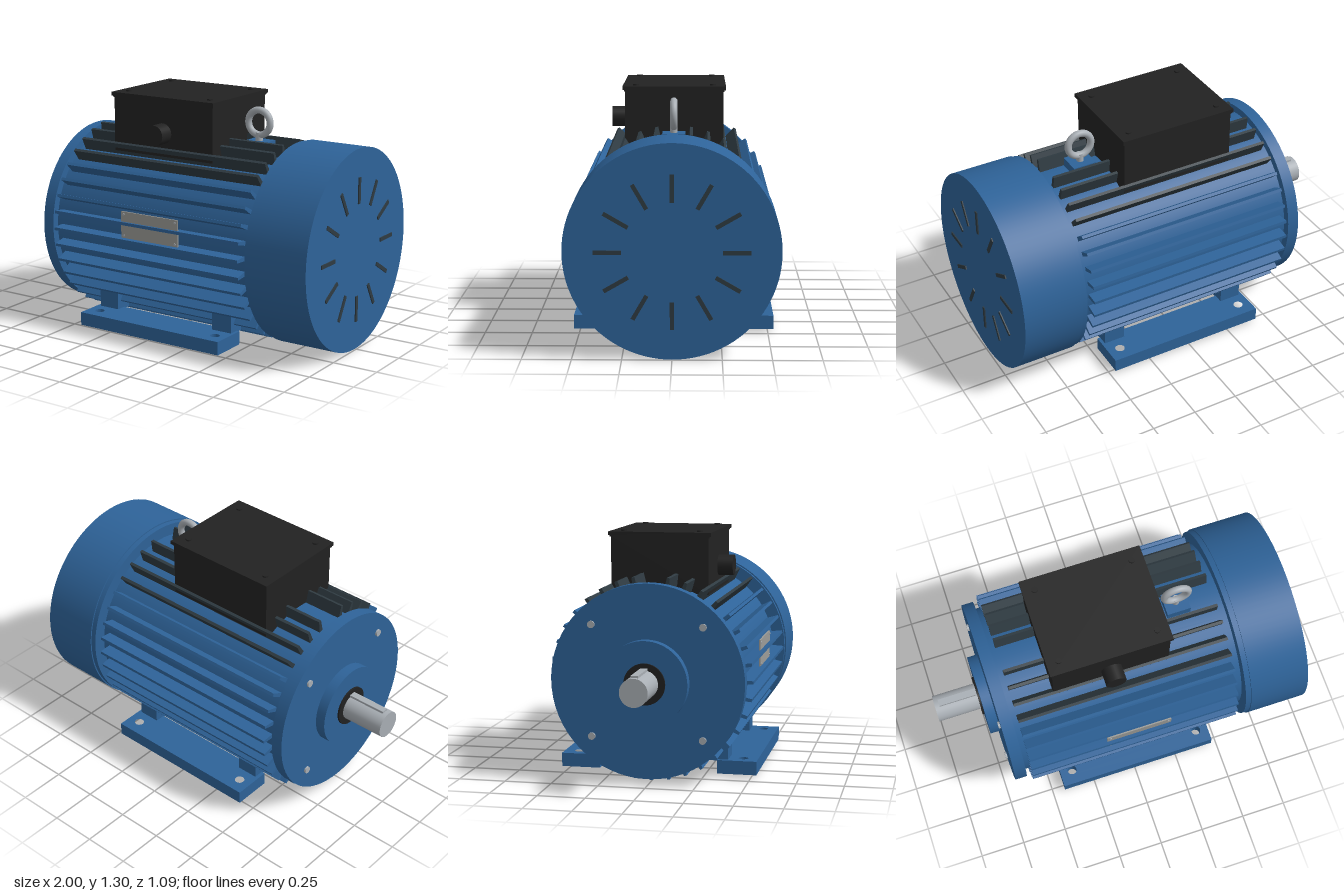
import * as THREE from 'three';

const mat = (name, color, side = THREE.FrontSide) => {
  const m = new THREE.MeshStandardMaterial({ color, side });
  m.name = name;
  return m;
};

export function createModel() {
  const blue = mat('blue paint', 0x2e6399);
  const dark = mat('dark slate', 0x2f3b42);
  const black = mat('black', 0x222222);
  const steel = mat('steel', 0xa9afb5);
  const plate = mat('plate grey', 0x9c9c98);

  const motor = new THREE.Group();
  motor.name = 'electricMotor';
  const AXIS = 0.545; // height of the shaft line

  const add = (name, geometry, material, x = 0, y = 0, z = 0, parent = motor) => {
    const mesh = new THREE.Mesh(geometry, material);
    mesh.name = name;
    mesh.position.set(x, y, z);
    parent.add(mesh);
    return mesh;
  };
  const box = (name, m, x0, x1, y0, y1, z0, z1, parent) =>
    add(name, new THREE.BoxGeometry(x1 - x0, y1 - y0, z1 - z0), m,
      (x0 + x1) / 2, (y0 + y1) / 2, (z0 + z1) / 2, parent);
  // cylinder lying along x
  const drum = (name, m, x0, x1, r, y = AXIS, z = 0, sides = 64) =>
    add(name, new THREE.CylinderGeometry(r, r, x1 - x0, sides).rotateZ(-Math.PI / 2), m, (x0 + x1) / 2, y, z);

  // Turned body parts
  drum('statorBody', blue, -0.63, 0.64, 0.467);
  drum('mountingFlange', blue, -0.695, -0.63, 0.508);
  drum('bearingBoss', blue, -0.75, -0.695, 0.222);
  drum('shaftSeal', black, -0.76, -0.75, 0.108);
  drum('shaft', steel, -1, -0.74, 0.073, AXIS, 0, 40);
  box('shaftKey', steel, -0.975, -0.755, 0.59, 0.628, -0.019, 0.019);
  drum('fanCoverRim', blue, 0.632, 0.665, 0.536, AXIS, 0, 96);
  drum('fanCover', blue, 0.662, 0.992, 0.543, AXIS, 0, 96);

  // Flange bolts
  for (const sy of [-1, 1]) for (const sz of [-1, 1])
    drum('flangeBolt', steel, -0.706, -0.69, 0.019, AXIS + sy * 0.292, sz * 0.292, 16);

  // Cooling fins: a tapered section pushed along x, turned about the shaft
  const finShape = new THREE.Shape([[-0.013, 0.455], [0.013, 0.455], [0.008, 0.536], [-0.008, 0.536]]
    .map(([a, b]) => new THREE.Vector2(a, b)));
  const finGeometry = new THREE.ExtrudeGeometry(finShape, { depth: 1.19, bevelEnabled: false });
  finGeometry.rotateY(Math.PI / 2);
  const fins = new THREE.Group();
  fins.name = 'coolingFins';
  motor.add(fins);
  for (let i = 1; i < 36; i++) {
    const upper = i <= 4 || i >= 32;
    add('coolingFin', finGeometry, upper ? dark : blue, -0.6, AXIS, 0, fins).rotation.x = i * Math.PI / 18;
  }

  // Vent slots on the fan cover
  const slotGeometry = new THREE.BoxGeometry(0.009, 0.14, 0.021);
  slotGeometry.translate(0, 0.32, 0);
  for (let i = 0; i < 12; i++)
    add('ventSlot', slotGeometry, dark, 0.9935, AXIS, 0).rotation.x = i * Math.PI / 6;

  // Feet: drilled bars carried by two legs on each side
  for (const s of [-1, 1]) {
    const bar = new THREE.Shape([[-0.43, 0.32], [0.47, 0.32], [0.47, 0.53], [-0.43, 0.53]]
      .map(([x, z]) => new THREE.Vector2(x, s * z)));
    for (const x of [-0.36, 0.4]) {
      const hole = new THREE.Path();
      hole.absarc(x, s * 0.45, 0.026, 0, Math.PI * 2, true);
      bar.holes.push(hole);
    }
    const geometry = new THREE.ExtrudeGeometry(bar, { depth: 0.073, bevelEnabled: false, curveSegments: 20 });
    geometry.rotateX(Math.PI / 2);
    add('footBar', geometry, blue, 0, 0.092, 0);
    const z = [s * 0.275, s * 0.376].sort((a, b) => a - b);
    for (const x of [-0.41, 0.333])
      box('footLeg', blue, x, x + 0.12, 0.085, 0.275, z[0], z[1]);
  }

  // Terminal box: open-bottomed walls with a lid
  const rect = (Type, w, d) => new Type([[-w, -d], [w, -d], [w, d], [-w, d]]
    .map(([a, b]) => new THREE.Vector2(a, b)));
  const walls = rect(THREE.Shape, 0.32, 0.262);
  walls.holes.push(rect(THREE.Path, 0.302, 0.244));
  const wallGeometry = new THREE.ExtrudeGeometry(walls, { depth: 0.3, bevelEnabled: false });
  wallGeometry.rotateX(-Math.PI / 2);
  add('terminalBoxWalls', wallGeometry, black, -0.06, 0.965, 0);
  box('lidGasket', black, -0.386, 0.266, 1.262, 1.272, -0.268, 0.268);
  box('terminalBoxLid', black, -0.391, 0.271, 1.27, 1.29, -0.275, 0.275);
  for (const x of [-0.325, 0.205]) for (const z of [-0.205, 0.205])
    add('lidScrew', new THREE.CylinderGeometry(0.016, 0.016, 0.012, 16), black, x, 1.292, z);
  add('cableGland', new THREE.CylinderGeometry(0.056, 0.056, 0.1, 32).rotateX(Math.PI / 2), black, -0.06, 1.092, 0.296);

  // Lifting eye on its pad
  box('liftingPad', blue, 0.322, 0.452, 0.99, 1.06, -0.06, 0.06);
  add('liftingEyeShank', new THREE.CylinderGeometry(0.02, 0.02, 0.06, 20), steel, 0.386, 1.075, 0);
  add('liftingEye', new THREE.TorusGeometry(0.067, 0.019, 16, 48), steel, 0.386, 1.158, 0);

  // Rating plate with rivets
  box('ratingPlate', plate, -0.162, 0.203, 0.552, 0.7, 0.5, 0.508);
  for (const x of [-0.145, 0.186]) for (const y of [0.568, 0.685])
    add('plateRivet', new THREE.CylinderGeometry(0.006, 0.006, 0.006, 12).rotateX(Math.PI / 2), steel, x, y, 0.509);

  return motor;
}
